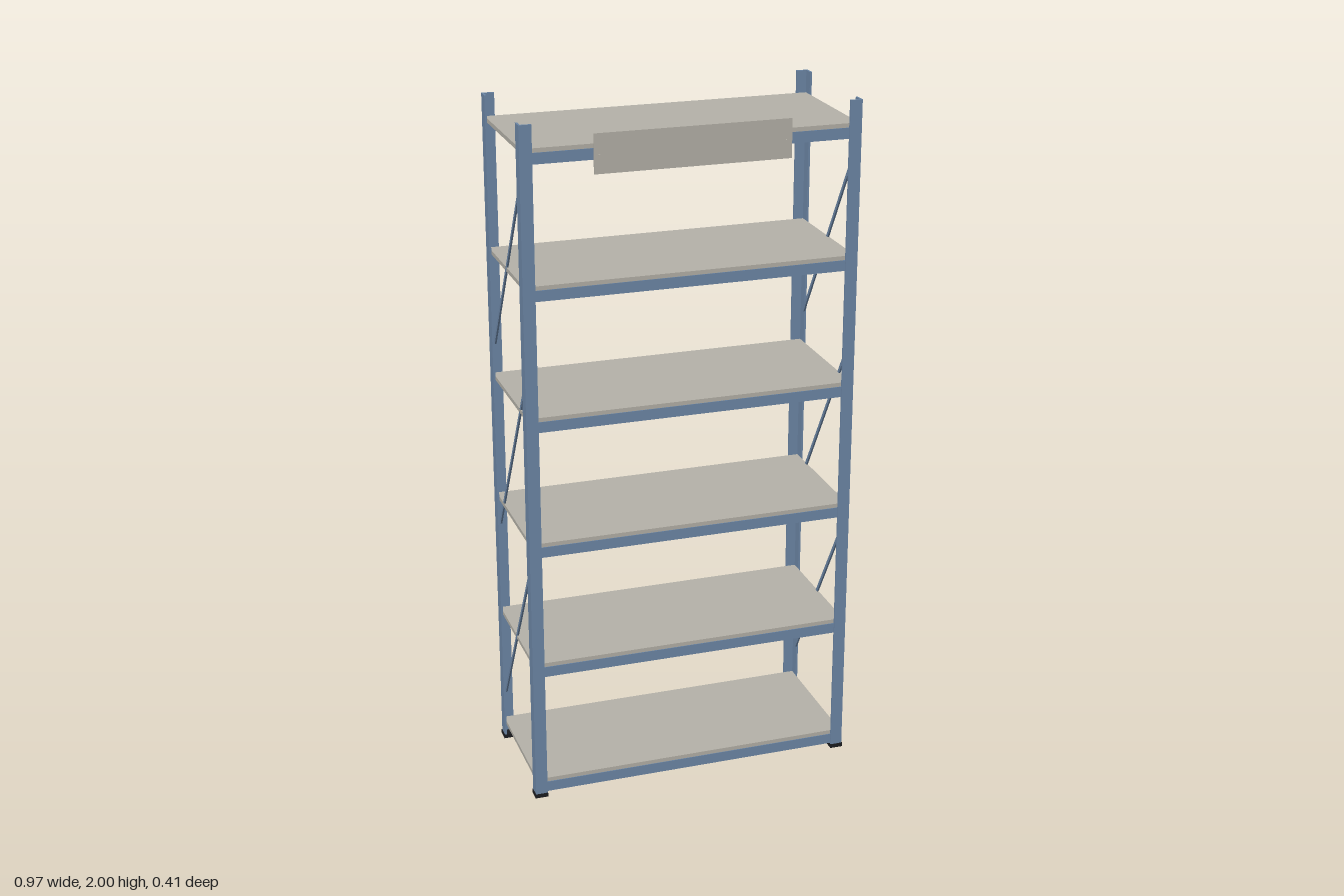
import * as THREE from 'three';

const mat = (name, color) => {
  const m = new THREE.MeshStandardMaterial({ color });
  m.name = name;
  return m;
};

export function createModel() {
  const blue = mat('blue steel', 0x6d88a8);
  const grey = mat('grey board', 0xb5b2a9);
  const black = mat('black plastic', 0x1c1d20);
  const group = new THREE.Group();
  const frame = new THREE.Group(); // sits slightly back to leave room for the sign
  frame.name = 'frame';
  frame.position.z = -0.005;
  group.add(frame);

  const add = (parent, name, geometry, material, x, y, z) => {
    const mesh = new THREE.Mesh(geometry, material);
    mesh.name = name;
    mesh.position.set(x, y, z);
    parent.add(mesh);
    return mesh;
  };
  const box = (parent, name, material, w, h, d, x, y, z) =>
    add(parent, name, new THREE.BoxGeometry(w, h, d), material, x, y, z);

  const X = 0.481, Z = 0.202, LEG = 0.035, T = 0.006;

  // L-section, corner at the origin, legs along +x and +y
  const angle = new THREE.Shape([
    [0, 0], [LEG, 0], [LEG, T], [T, T], [T, LEG], [0, LEG],
  ].map(([x, y]) => new THREE.Vector2(x, y)));
  const postGeometry = new THREE.ExtrudeGeometry(angle, { depth: 1.99, bevelEnabled: false });
  postGeometry.rotateX(-Math.PI / 2); // now rises along y, corner at +z

  // Corner posts and feet
  const turns = [[-1, 1, 0], [1, 1, Math.PI / 2], [1, -1, Math.PI], [-1, -1, -Math.PI / 2]];
  for (const [sx, sz, turn] of turns) {
    add(frame, 'cornerPost', postGeometry, blue, sx * X, 0.01, sz * Z).rotation.y = turn;
    box(frame, 'foot', black, 0.038, 0.012, 0.038, sx * (X - 0.017), 0.006, sz * (Z - 0.017));
  }

  // Shelves with front and back support beams
  for (let i = 0; i < 6; i++) {
    const top = 0.058 + i * 0.3755;
    box(frame, 'shelf', grey, 0.95, 0.012, 0.392, 0, top - 0.006, 0);
    for (const s of [-1, 1]) {
      box(frame, 'beamWeb', blue, 0.948, 0.031, 0.006, 0, top - 0.0275, s * 0.195);
      box(frame, 'beamLedge', blue, 0.948, 0.004, 0.024, 0, top - 0.014, s * 0.181);
    }
  }

  // Diagonal side braces
  const rise = 0.56, run = 0.342;
  for (const sx of [-1, 1]) {
    for (let i = 0; i < 3; i++) {
      const brace = box(frame, 'sideBrace', blue, 0.005, Math.hypot(rise, run), 0.01,
        sx * 0.4725, 0.445 + i * 0.56, 0.005);
      brace.rotation.x = Math.atan2(run, rise);
    }
  }

  // Blank sign board with two screws
  const sign = new THREE.Group();
  sign.name = 'signBoard';
  group.add(sign);
  box(sign, 'signPanel', grey, 0.556, 0.11, 0.005, -0.002, 1.91, 0.2);
  for (const sx of [-1, 1]) {
    add(sign, 'signScrew', new THREE.CylinderGeometry(0.004, 0.004, 0.003, 12), grey,
      sx * 0.263 - 0.002, 1.905, 0.204).rotation.x = Math.PI / 2;
  }
  return group;
}
